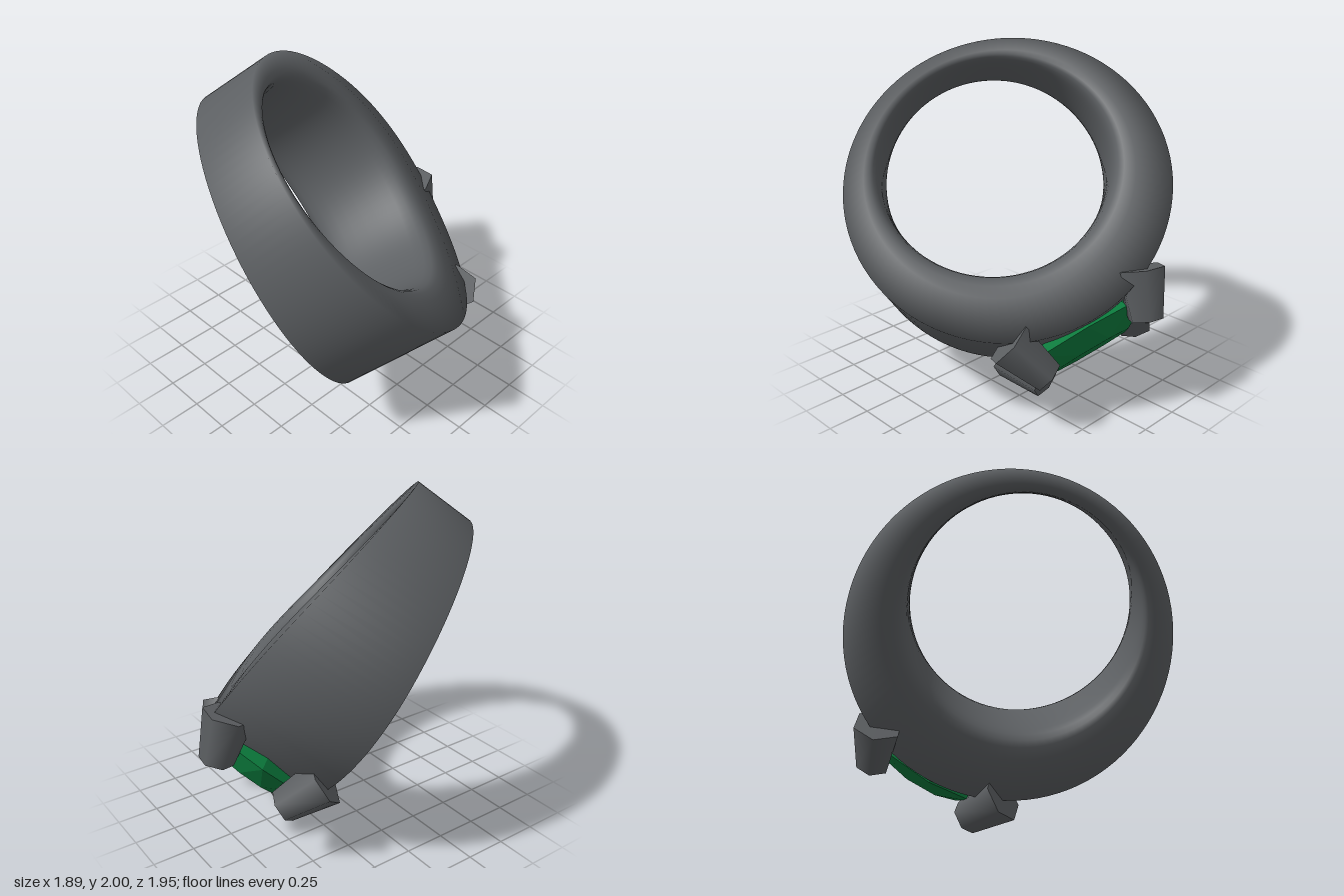
import * as THREE from 'three';
import { ConvexGeometry } from 'three/addons/geometries/ConvexGeometry.js';

const OUTER = 0.935, INNER = 0.67, INNER_SHIFT = 0.155; // hole is off-centre: thick at the stone, thin behind

// Half of the band's cross-section: [inner-to-outer fraction, half-width fraction]
const HALF = [
  [0, 0], [0.005, 0.25], [0.015, 0.46], [0.035, 0.64], [0.07, 0.79], [0.13, 0.89],
  [0.22, 0.95], [0.4, 0.985], [1, 1],
];

// Tapering band swept round the finger hole (local z is the finger axis, +y the stone)
function bandGeometry() {
  const mirrored = HALF.slice(1).reverse().map(([k, s]) => [k, -s]);
  const profile = [...HALF, ...mirrored];
  const n = 96, m = profile.length;
  const positions = [], index = [];
  for (let i = 0; i < n; i++) {
    const a = (i / n) * Math.PI * 2, sin = Math.sin(a), cos = Math.cos(a);
    // widens towards the stone, easing off close to it
    const halfWidth = 0.305 + 0.125 * cos - 0.06 * Math.max(0, cos) ** 3;
    profile.forEach(([k, s], j) => {
      const r = THREE.MathUtils.lerp(INNER, OUTER, k);
      positions.push(r * sin, r * cos - INNER_SHIFT * (1 - k), s * halfWidth);
      const i2 = (i + 1) % n, j2 = (j + 1) % m;
      const p = i * m + j, q = i2 * m + j, u = i * m + j2, v = i2 * m + j2;
      index.push(p, q, u, q, v, u);
    });
  }
  const g = new THREE.BufferGeometry();
  g.setAttribute('position', new THREE.Float32BufferAttribute(positions, 3));
  g.setIndex(index);
  g.computeVertexNormals();
  return g;
}

// Oval faceted stone: octagonal table, turned girdle and a pointed underside
function gemGeometry() {
  const points = [new THREE.Vector3(0, -0.25, 0)];
  for (let i = 0; i < 8; i++) {
    const a = (i * Math.PI) / 4, b = a + Math.PI / 8;
    points.push(new THREE.Vector3(0.25 * Math.sin(b), 0.1, 0.19 * Math.cos(b)));
    points.push(new THREE.Vector3(0.425 * Math.sin(a), 0, 0.335 * Math.cos(a)));
  }
  return new ConvexGeometry(points);
}

export function createModel() {
  const metal = new THREE.MeshStandardMaterial({ color: 0x5c5f62 });
  metal.name = 'darkMetal';
  const green = new THREE.MeshStandardMaterial({ color: 0x0b7a3c });
  green.name = 'greenStone';

  const add = (parent, name, geometry, material) => {
    const mesh = new THREE.Mesh(geometry, material);
    mesh.name = name;
    parent.add(mesh);
    return mesh;
  };

  const ring = new THREE.Group();
  ring.name = 'ring';
  add(ring, 'band', bandGeometry(), metal);

  // Stone and its mount
  const setting = new THREE.Group();
  setting.name = 'setting';
  setting.position.set(0.03, 0, -0.02);
  ring.add(setting);
  add(setting, 'gem', gemGeometry(), green).position.y = 0.95;

  // Four tapered prongs leaning in over the stone
  const prongGeometry = new THREE.CylinderGeometry(0.1, 0.145, 0.29, 6);
  const up = new THREE.Vector3(0, 1, 0);
  for (const sx of [-1, 1]) {
    for (const sz of [-1, 1]) {
      const base = new THREE.Vector3(sx * 0.415, 0.81, sz * 0.325);
      const tip = new THREE.Vector3(sx * 0.315, 1.06, sz * 0.225);
      const prong = add(setting, 'prong', prongGeometry, metal);
      prong.position.lerpVectors(base, tip, 0.5);
      prong.quaternion.setFromUnitVectors(up, tip.sub(base).normalize());
    }
  }

  // Tilt the ring so the stone points down and back
  const side = new THREE.Vector3(2, -1, 1).normalize();
  const stone = new THREE.Vector3(0, -1, -1).normalize();
  const axis = new THREE.Vector3(1, 1, -1).normalize();
  ring.quaternion.setFromRotationMatrix(new THREE.Matrix4().makeBasis(side, stone, axis));
  ring.position.set(0, 1.13, 0.11);

  const model = new THREE.Group();
  model.name = 'gemRing';
  model.add(ring);
  return model;
}
